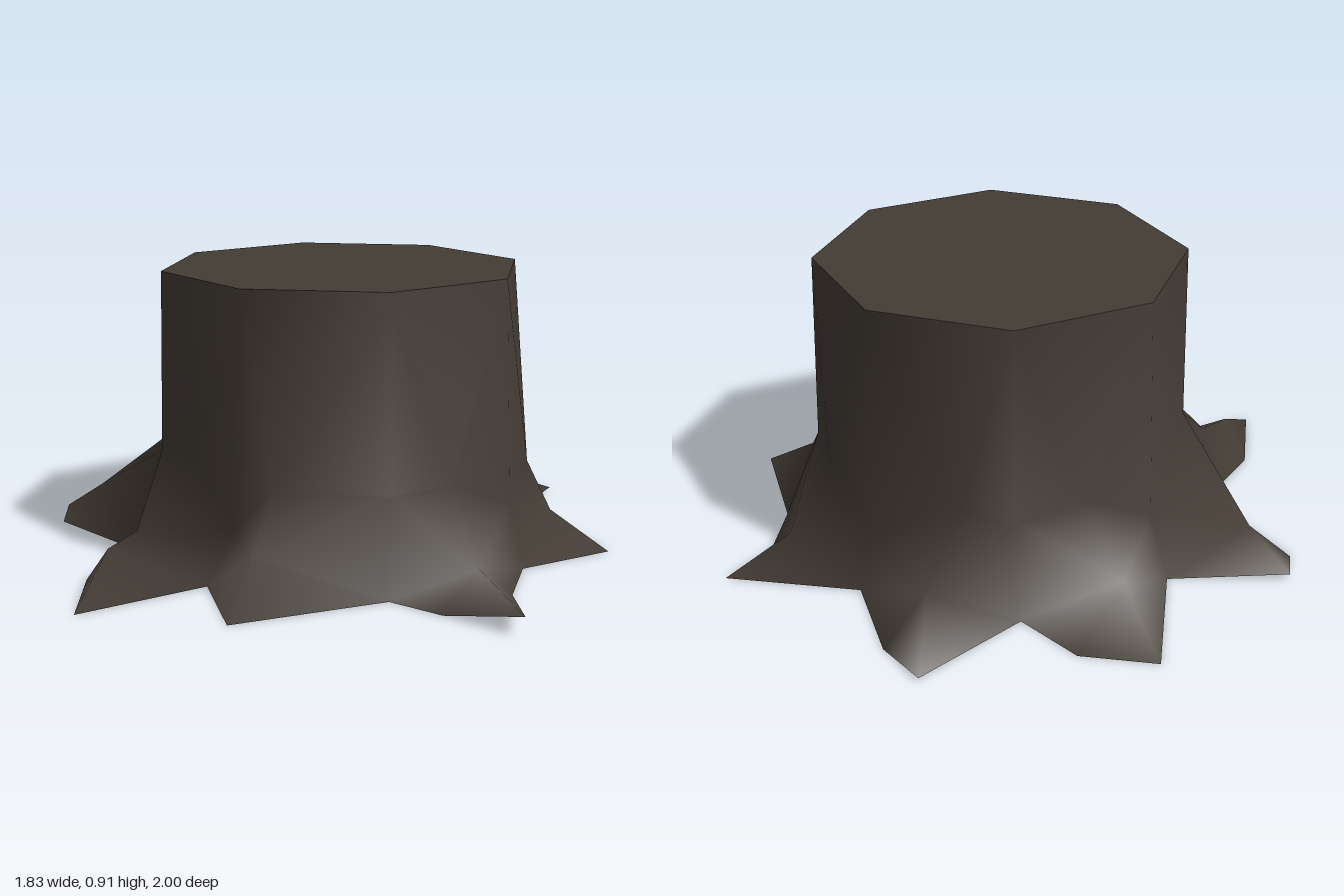
import * as THREE from 'three';

const CX = 0.025, CZ = -0.045, TOP = 0.91, SIDES = 8;

// Ground points between neighbouring roots, clockwise from the back: [x, z]
const valleys = [
  [0.01, -0.725], [0.49, -0.525], [0.74, -0.05], [0.49, 0.435],
  [0, 0.63], [-0.5, 0.365], [-0.665, -0.045], [-0.46, -0.525],
];

// Where each trunk corner starts to flare towards its valley: [radius, height]
const flares = [
  [0.598, 0.29], [0.605, 0.15], [0.598, 0.3], [0.612, 0.2],
  [0.6, 0.3], [0.628, 0.18], [0.598, 0.33], [0.612, 0.2],
];

// Each root: crest on the trunk wall, ridge running outwards, then the rim of its tip
const roots = [
  { crest: [0.18, 0.31, -0.585], ridge: [[0.29, 0.17, -0.81]], tip: [[0.32, 0.01, -1], [0.42, 0, -0.84]] },
  { crest: [0.58, 0.3, -0.25], ridge: [[0.71, 0.09, -0.32]], tip: [[0.91, 0, -0.43], [0.78, 0, -0.275]] },
  { crest: [0.59, 0.28, 0.18], ridge: [[0.66, 0.12, 0.22]], tip: [[0.82, 0, 0.335]] },
  { crest: [0.24, 0.3, 0.475], ridge: [[0.25, 0.11, 0.71]], tip: [[0.375, 0, 0.66], [0.29, 0.06, 1], [0.12, 0, 0.78]] },
  { crest: [-0.32, 0.33, 0.505], ridge: [[-0.41, 0.165, 0.608]], tip: [[-0.5, 0, 0.71]] },
  { crest: [-0.5, 0.35, 0.18], ridge: [[-0.69, 0.14, 0.2], [-0.79, 0.122, 0.3]], tip: [[-0.915, 0, 0.52], [-0.85, 0, 0.215]] },
  { crest: [-0.495, 0.34, -0.28], ridge: [[-0.73, 0.125, -0.43]], tip: [[-0.87, 0, -0.42], [-0.84, 0.02, -0.555]] },
  { crest: [-0.2, 0.31, -0.56], ridge: [[-0.29, 0.16, -0.77]], tip: [[-0.375, 0, -0.965], [-0.14, 0, -0.91]] },
];

// Corner i of the eight-sided trunk
function corner(i, radius, y) {
  const t = (i / SIDES) * Math.PI * 2;
  return [CX + Math.sin(t) * radius, y, CZ - Math.cos(t) * radius];
}

// Trunk wall flaring into roots, one sector per side, open underneath
function barkGeometry() {
  const pos = [], index = [];
  const add = (p) => pos.push(...p) / 3 - 1;

  // Shared corner columns: top, flare, valley
  const columns = valleys.map(([x, z], i) => [
    add(corner(i, 0.588, TOP)),
    add(corner(i, ...flares[i])),
    add([x, 0, z]),
  ]);

  roots.forEach((root, i) => {
    const [t, m, v] = columns[i];
    const [t2, m2, v2] = columns[(i + 1) % SIDES];
    const c = add(root.crest), ridge = root.ridge.map(add), h = ridge[0];
    index.push(
      t, t2, c, t, c, m, t2, m2, c, // trunk side
      m, c, h, c, m2, h, m, h, v, m2, v2, h, // root shoulder
    );
    // Root flanks along the ridge
    for (let j = 0; j < ridge.length - 1; j++) {
      index.push(ridge[j], ridge[j + 1], v, ridge[j], v2, ridge[j + 1]);
    }
    // Root end fans out from the last ridge point
    const k = ridge[ridge.length - 1];
    const rim = [v, ...root.tip.map(add), v2];
    for (let j = 0; j < rim.length - 1; j++) index.push(k, rim[j + 1], rim[j]);
  });

  const geo = new THREE.BufferGeometry();
  geo.setAttribute('position', new THREE.Float32BufferAttribute(pos, 3));
  geo.setIndex(index);
  geo.computeVertexNormals();
  return geo;
}

export function createModel() {
  const group = new THREE.Group();
  group.name = 'treeStump';
  const wood = new THREE.MeshStandardMaterial({ color: 0x443c35, side: THREE.DoubleSide });
  wood.name = 'darkWood';

  const bark = new THREE.Mesh(barkGeometry(), wood);
  bark.name = 'trunkAndRoots';

  // Flat cut top
  const cut = new THREE.Mesh(new THREE.CircleGeometry(0.588, SIDES), wood);
  cut.name = 'cutTop';
  cut.rotation.x = -Math.PI / 2;
  cut.position.set(CX, TOP, CZ);

  group.add(bark, cut);
  return group;
}
